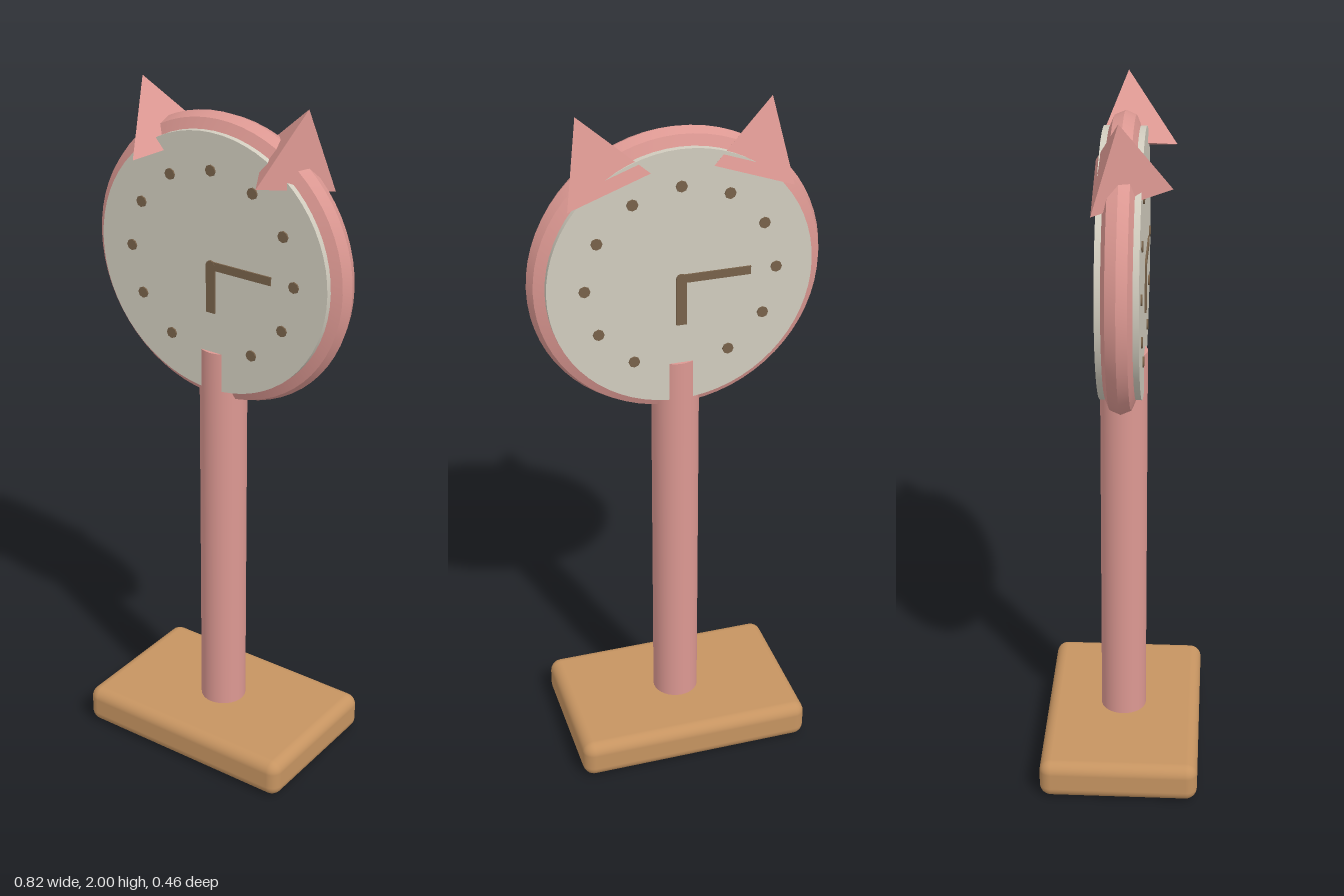
import * as THREE from 'three';
import { toCreasedNormals } from 'three/addons/utils/BufferGeometryUtils.js';
import { RoundedBoxGeometry } from 'three/addons/geometries/RoundedBoxGeometry.js';

const material = (name, color) => {
  const m = new THREE.MeshStandardMaterial({ color });
  m.name = name;
  return m;
};

export function createModel() {
  const pink = material('pink', 0xdc9892);
  const wood = material('wood', 0xc69461);
  const cream = material('cream', 0xd2cdbf);
  const brown = material('brown', 0x78624a);
  const model = new THREE.Group();
  model.name = 'standingClock';

  const add = (parent, name, geometry, mat, x = 0, y = 0, z = 0) => {
    const mesh = new THREE.Mesh(geometry, mat);
    mesh.name = name;
    mesh.position.set(x, y, z);
    parent.add(mesh);
    return mesh;
  };

  // Foot and post
  add(model, 'base', new RoundedBoxGeometry(0.695, 0.115, 0.46, 4, 0.034), wood, 0, 0.0575, 0);
  add(model, 'post', new THREE.CylinderGeometry(0.067, 0.067, 1.18, 32), pink, 0, 0.69, 0);

  // Clock head: faceted rim around a thick disc
  const head = new THREE.Group();
  head.name = 'clockHead';
  head.position.y = 1.535;
  model.add(head);
  add(head, 'rim', toCreasedNormals(new THREE.TorusGeometry(0.37, 0.041, 8, 64), 0.5), pink);
  add(head, 'disc', new THREE.CylinderGeometry(0.37, 0.37, 0.115, 64).rotateX(Math.PI / 2), cream);

  // Bar with rounded ends, running from the origin along +x
  const handGeometry = (length, width) => {
    const r = width / 2;
    const shape = new THREE.Shape();
    shape.absarc(0, 0, r, Math.PI / 2, Math.PI * 1.5);
    shape.lineTo(length, -r);
    shape.lineTo(length, r);
    shape.closePath();
    return new THREE.ExtrudeGeometry(shape, { depth: 0.005, bevelEnabled: false, curveSegments: 8 });
  };

  // The same dial on both sides
  for (const side of ['front', 'back']) {
    const dial = new THREE.Group();
    dial.name = side + 'Dial';
    dial.rotation.y = side === 'front' ? 0 : Math.PI;
    head.add(dial);
    for (let i = 0; i < 12; i++) {
      if (i === 6) continue; // covered by the post
      const a = (i * Math.PI) / 6;
      add(dial, 'hourMark', new THREE.CylinderGeometry(0.016, 0.016, 0.005, 8).rotateX(Math.PI / 2),
        brown, Math.sin(a) * 0.267, Math.cos(a) * 0.267, 0.0595);
    }
    add(dial, 'minuteHand', handGeometry(0.195, 0.024), brown, 0, 0, 0.057);
    add(dial, 'hourHand', handGeometry(0.137, 0.029), brown, 0, 0, 0.0575).rotation.z = -Math.PI / 2;
  }

  // Three-sided ears leaning outwards
  for (const s of [-1, 1]) {
    const ear = add(model, s > 0 ? 'leftEar' : 'rightEar',
      toCreasedNormals(new THREE.ConeGeometry(0.137, 0.2, 3), 0.5), pink, s * 0.231, 1.906, 0);
    ear.rotation.z = -s * 0.349;
  }
  return model;
}
